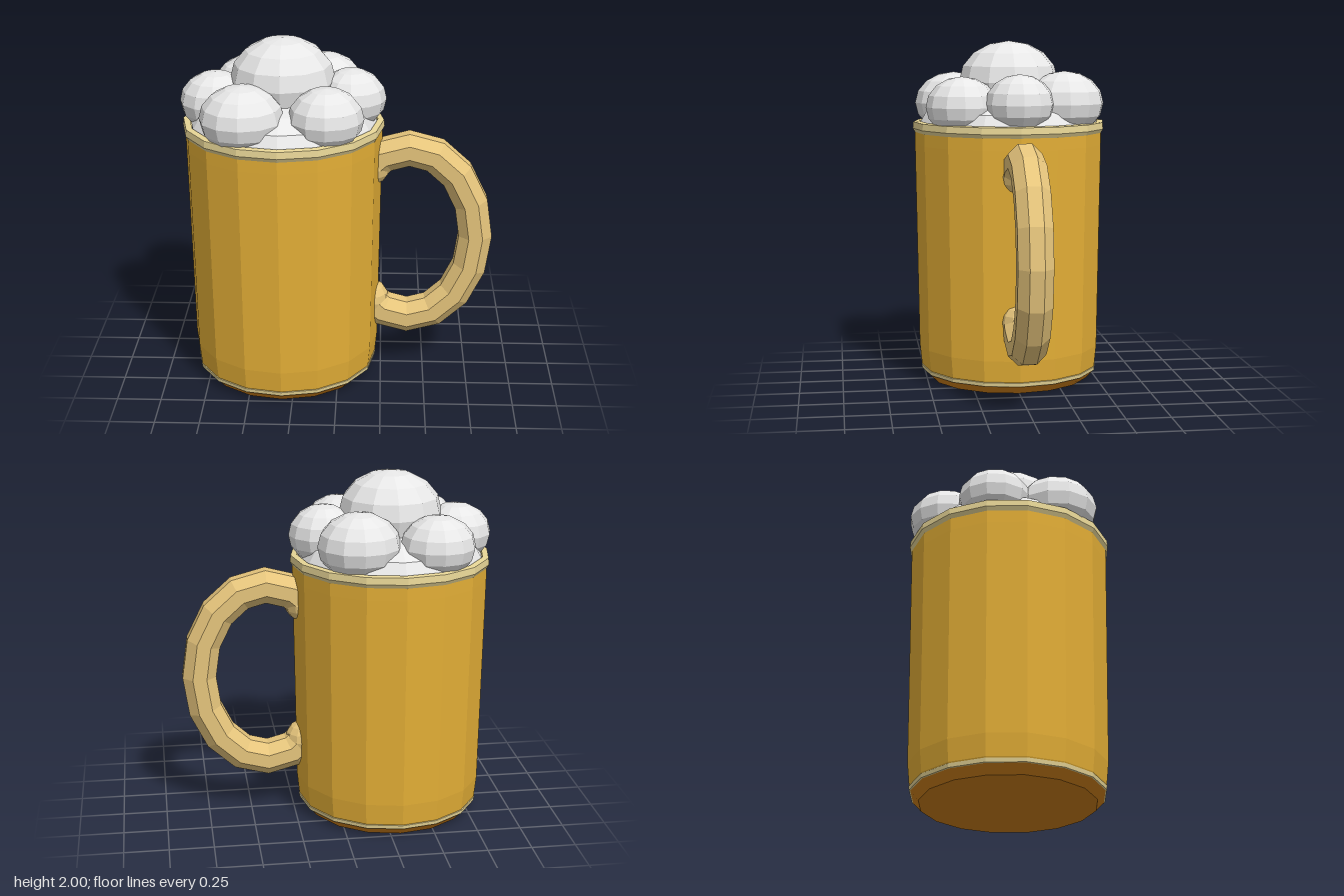
import * as THREE from 'three';
import { ParametricGeometry } from 'three/addons/geometries/ParametricGeometry.js';

const AXIS_X = -0.31; // centre line of the cup

function material(name, color) {
  const m = new THREE.MeshStandardMaterial({ color, flatShading: true });
  m.name = name;
  return m;
}

export function createModel() {
  const group = new THREE.Group();
  const amber = material('amber', 0xe3ae36);
  const wood = material('handle tan', 0xe6c57c);
  const cream = material('rim cream', 0xead898);
  const brown = material('base brown', 0xcc7f1a);
  const foam = material('foam', 0xe8e8e8);

  const add = (name, geometry, mat, x = 0, y = 0, z = 0) => {
    const mesh = new THREE.Mesh(geometry, mat);
    mesh.name = name;
    mesh.position.set(x, y, z);
    group.add(mesh);
    return mesh;
  };
  const lathe = (name, profile, mat) => add(name,
    new THREE.LatheGeometry(profile.map(p => new THREE.Vector2(...p)), 16), mat, AXIS_X);

  // Cup, from the foot up to the rim
  lathe('base', [[0, 0], [0.475, 0], [0.52, 0.05]], brown);
  lathe('baseRing', [[0.51, 0.045], [0.525, 0.05], [0.528, 0.072], [0.515, 0.077]], cream);
  lathe('body', [[0.518, 0.06], [0.526, 0.08], [0.538, 0.2], [0.555, 1.4], [0.555, 1.47]], amber);
  lathe('rim', [[0.548, 1.458], [0.568, 1.492], [0.564, 1.53], [0.53, 1.534], [0.52, 1.47]], cream);

  // Handle: octagonal section swept along part of an ellipse
  const cx = 0.4, cy = 0.84, rx = 0.386, ry = 0.521, tube = 0.103;
  const handle = new ParametricGeometry((u, v, target) => {
    const a = (-2 + v * 12) * Math.PI / 8;
    const p = (u + 1 / 16) * Math.PI * 2;
    const n = new THREE.Vector2(Math.sin(a) / rx, Math.cos(a) / ry).normalize();
    const d = tube * Math.cos(p);
    target.set(cx + rx * Math.sin(a) + n.x * d, cy + ry * Math.cos(a) + n.y * d, tube * Math.sin(p));
  }, 8, 12);
  add('handle', handle, wood);

  // Rounded joints where the handle meets the cup
  for (const side of [-1, 1]) {
    add('handleJoint', new THREE.SphereGeometry(0.11, 12, 8), wood, 0.185, cy + side * 0.415, 0);
  }

  // Foam dome inside the rim
  const dome = new THREE.SphereGeometry(0.525, 16, 4, 0, Math.PI * 2, 0, Math.PI / 2);
  add('foamBase', dome, foam, AXIS_X, 1.525, 0).scale.y = 0.34;

  // Foam bubbles: x, y, z, radius, height radius
  const bubbles = [
    [-0.31, 1.765, 0, 0.293, 0.235],
    [-0.515, 1.63, 0.308, 0.232, 0.183],
    [-0.06, 1.63, 0.3, 0.207, 0.172],
    [0.07, 1.65, -0.015, 0.197, 0.168],
    [-0.09, 1.645, -0.295, 0.23, 0.185],
    [-0.52, 1.635, -0.315, 0.21, 0.17],
    [-0.685, 1.635, 0, 0.203, 0.167],
  ];
  for (const [x, y, z, r, h] of bubbles) {
    add('foamBubble', new THREE.SphereGeometry(r, 12, 8), foam, x, y, z).scale.y = h / r;
  }

  return group;
}
